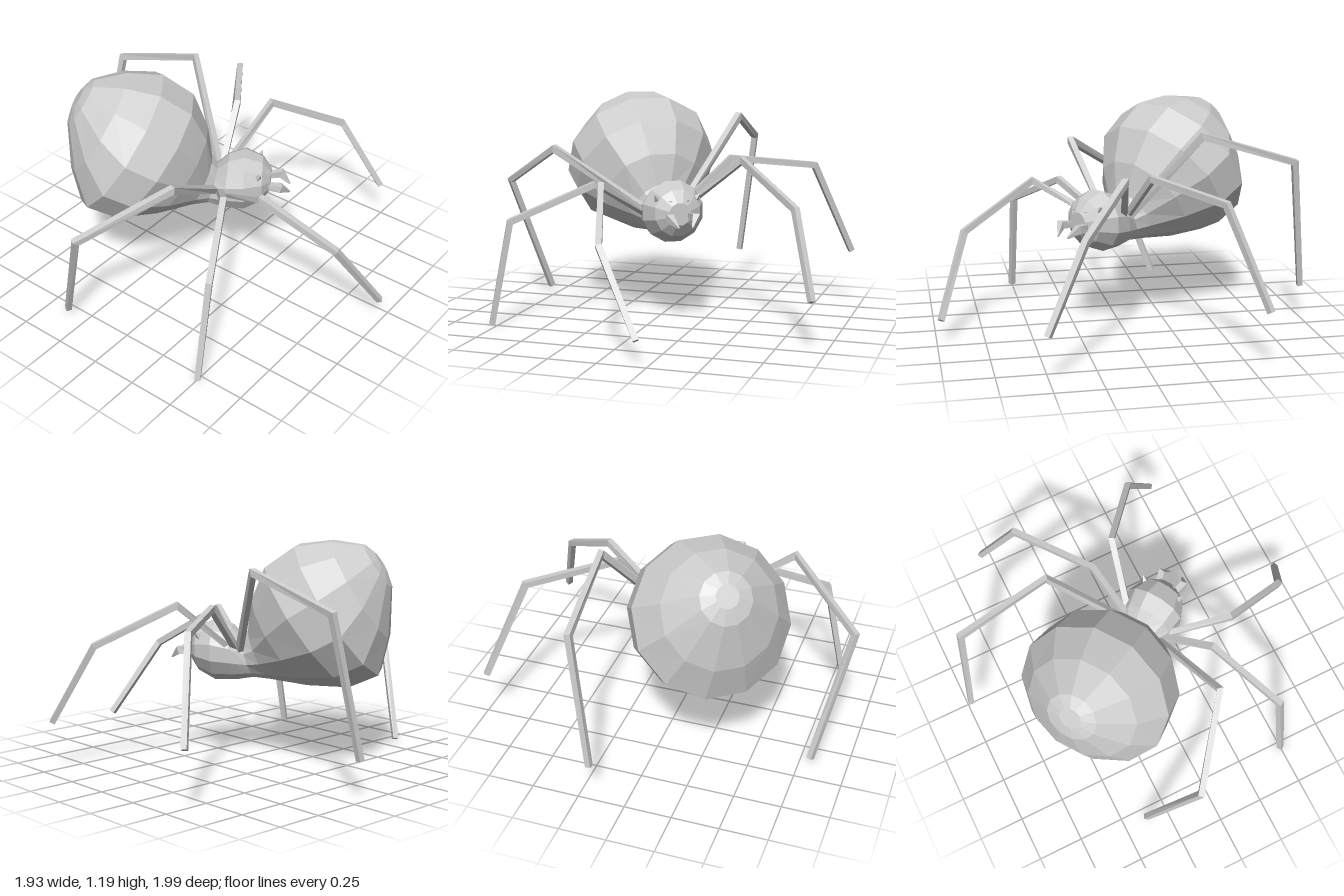
import * as THREE from 'three';

const V = (x, y, z) => new THREE.Vector3(x, y, z);
const material = new THREE.MeshStandardMaterial({ color: 0xcccccc, flatShading: true });

// Closed, flat-shaded skin over rings of points, capped at both ends
function loft(rings, name) {
  const pos = [];
  const tri = (...pts) => pts.forEach((p) => pos.push(p.x, p.y, p.z));
  const middle = (r) => r.reduce((s, p) => s.add(p), V(0, 0, 0)).divideScalar(r.length);
  const n = rings[0].length;
  const first = rings[0], last = rings[rings.length - 1];
  const c0 = middle(first), c1 = middle(last);
  for (let j = 0; j < n; j++) {
    const k = (j + 1) % n;
    for (let i = 0; i < rings.length - 1; i++) {
      const a = rings[i], b = rings[i + 1];
      tri(a[j], a[k], b[k]);
      tri(a[j], b[k], b[j]);
    }
    tri(c0, first[k], first[j]);
    tri(c1, last[j], last[k]);
  }
  const g = new THREE.BufferGeometry();
  g.setAttribute('position', new THREE.Float32BufferAttribute(pos, 3));
  g.computeVertexNormals();
  const mesh = new THREE.Mesh(g, material);
  mesh.name = name;
  return mesh;
}

// Ring around a centre, spanned by a side and an up vector
function ring(c, side, up, radius, sides, turn) {
  return Array.from({ length: sides }, (_, j) => {
    const a = (j / sides) * Math.PI * 2 + turn;
    return c.clone()
      .addScaledVector(side, Math.cos(a) * radius)
      .addScaledVector(up, Math.sin(a) * radius);
  });
}

// Square bar with mitred joints along a bent path
function bar(points, radii, name) {
  const dirs = points.slice(1).map((p, i) => p.clone().sub(points[i]).normalize());
  const span = points[points.length - 1].clone().sub(points[0]);
  const side = V(0, 1, 0).cross(span).normalize();
  const rings = points.map((p, i) => {
    const before = dirs[Math.max(i - 1, 0)], after = dirs[Math.min(i, dirs.length - 1)];
    const t = before.clone().add(after).normalize();
    const s = side.clone().addScaledVector(t, -side.dot(t)).normalize();
    const up = t.clone().cross(s).multiplyScalar(1 / t.dot(after));
    return ring(p, s, up, radii[i], 4, Math.PI / 4);
  });
  return loft(rings, name);
}

// Body rings from front to back: [z, y, radius, upward pitch in degrees]
function bodyPart(profile, name) {
  const rings = profile.map(([z, y, r, pitch]) => {
    const p = THREE.MathUtils.degToRad(pitch);
    return ring(V(0, y, z), V(-1, 0, 0), V(0, Math.cos(p), Math.sin(p)), r, 12, Math.PI / 12);
  });
  return loft(rings, name);
}

export function createModel() {
  const model = new THREE.Group();
  model.name = 'spider';

  // Body, turned towards the front left
  const body = new THREE.Group();
  body.name = 'body';
  body.rotation.y = 0.576;
  body.position.set(0.015, 0, -0.01);
  model.add(body);

  body.add(bodyPart([
    [0.31, 0.605, 0.06, 0],
    [0.265, 0.605, 0.125, 0],
    [0.17, 0.6, 0.168, 0],
    [0.07, 0.585, 0.15, 5],
    [-0.02, 0.56, 0.11, 18],
  ], 'head'));

  const abdomen = bodyPart([
    [0.0, 0.56, 0.11, 15],
    [-0.07, 0.582, 0.15, 25],
    [-0.185, 0.655, 0.28, 34],
    [-0.335, 0.745, 0.398, 36],
    [-0.49, 0.835, 0.415, 34],
    [-0.605, 0.945, 0.303, 32],
    [-0.695, 1.065, 0.135, 34],
    [-0.71, 1.085, 0.06, 34],
  ], 'abdomen');
  abdomen.rotation.y = 0.045;
  body.add(abdomen);

  // Fangs and pointed eyes, mirrored
  for (const s of [1, -1]) {
    body.add(bar(
      [V(0.05 * s, 0.59, 0.28), V(0.07 * s, 0.595, 0.365), V(0.035 * s, 0.55, 0.415)],
      [0.022, 0.026, 0.005], 'fang'));
    for (const [x, y, z, tx, ty, tz] of [
      [0.075, 0.65, 0.235, 0.04, 0.675, 0.305],
      [0.085, 0.655, 0.23, 0.125, 0.705, 0.26],
    ]) {
      const base = V(x * s, y, z), axis = V(tx * s, ty, tz).sub(base);
      const eye = new THREE.Mesh(new THREE.ConeGeometry(0.036, axis.length(), 4), material);
      eye.name = 'eye';
      eye.position.copy(base).addScaledVector(axis, 0.5);
      eye.quaternion.setFromUnitVectors(V(0, 1, 0), axis.normalize());
      body.add(eye);
    }
  }

  // Six posed legs: hip, knee, ankle, foot
  const legs = {
    backLeftLeg: [[0.1, 0.59, -0.03], [0.33, 1.07, -0.38], [0.3, 0.91, -0.89], [0.19, 0.2, -0.98]],
    middleLeftLeg: [[0.1, 0.6, -0.02], [0.36, 0.865, -0.11], [0.76, 0.81, -0.39], [0.945, 0.31, -0.57]],
    frontLeftLeg: [[0.13, 0.61, -0.01], [0.46, 0.875, 0.05], [0.8, 0.67, 0.31], [0.93, 0.255, 0.515]],
    frontRightLeg: [[-0.05, 0.58, 0.11], [-0.18, 0.765, 0.44], [-0.05, 0.53, 0.825], [0.19, 0.12, 0.975]],
    middleRightLeg: [[-0.05, 0.58, 0.08], [-0.28, 0.745, 0.28], [-0.67, 0.56, 0.49], [-0.78, 0.005, 0.5]],
    backRightLeg: [[-0.05, 0.58, 0.06], [-0.55, 0.915, 0.17], [-0.945, 0.69, -0.13], [-0.805, 0.03, -0.37]],
  };
  for (const [name, path] of Object.entries(legs)) {
    model.add(bar(path.map((p) => V(...p)), [0.023, 0.023, 0.023, 0.021], name));
  }
  return model;
}
